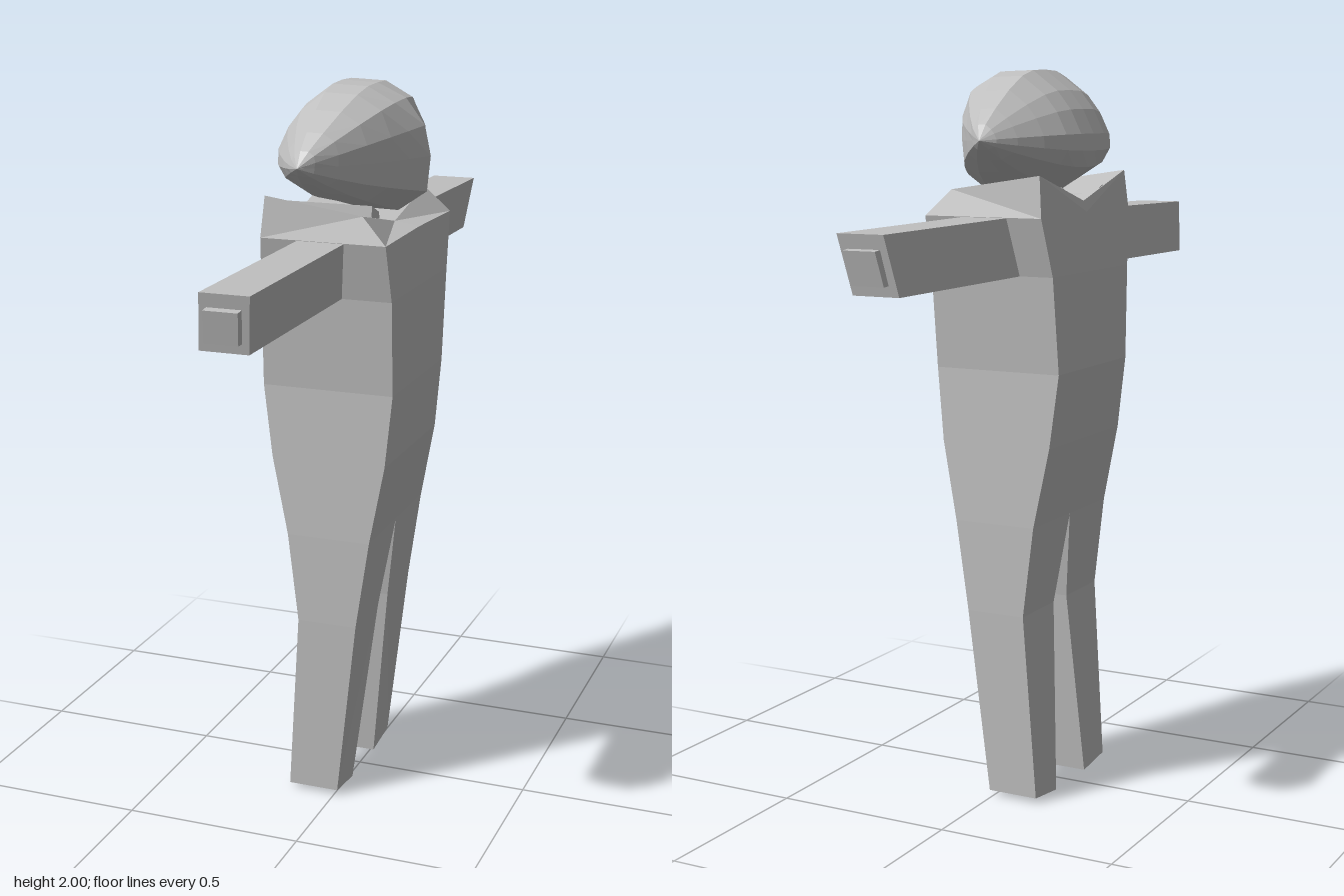
import * as THREE from 'three';

const grey = new THREE.MeshStandardMaterial({ color: 0xbfbfbf, flatShading: true });
grey.name = 'plainGrey';

// Skins a row of closed rings (counter-clockwise seen from the far end) and caps both ends
function loft(name, rings, side = 1) {
  const pos = [];
  const tri = (a, b, c) => {
    for (const p of side > 0 ? [a, b, c] : [a, c, b]) pos.push(p[0], p[1], p[2] * side);
  };
  const n = rings[0].length;
  for (let i = 0; i < rings.length - 1; i++) {
    for (let j = 0; j < n; j++) {
      const k = (j + 1) % n, a = rings[i], b = rings[i + 1];
      tri(a[j], a[k], b[k]);
      tri(a[j], b[k], b[j]);
    }
  }
  const first = rings[0], last = rings[rings.length - 1];
  for (let j = 1; j < n - 1; j++) {
    tri(first[0], first[j + 1], first[j]);
    tri(last[0], last[j], last[j + 1]);
  }
  const geo = new THREE.BufferGeometry();
  geo.setAttribute('position', new THREE.Float32BufferAttribute(pos, 3));
  geo.computeVertexNormals();
  const mesh = new THREE.Mesh(geo, grey);
  mesh.name = name;
  return mesh;
}

// Horizontal ring; yo and yi are the heights of the outer and inner edge
const level = (yo, yi, x0, x1, zi, zo) => [[x1, yo, zo], [x1, yi, zi], [x0, yi, zi], [x0, yo, zo]];

// Upright ring for the arm, leaning outwards at the top
const upright = (x0, x1, y0, y1, z0, z1, lean = 0.02) => [
  [x1 - lean, y0, z0], [x1, y1, z1], [x0 + lean, y1, z1], [x0, y0, z0]];

function bodyHalf(side) {
  const half = new THREE.Group();
  half.name = side > 0 ? 'frontHalf' : 'backHalf';

  // Leg and torso in one continuous skin
  half.add(loft('legAndTorso', [
    level(0.015, 0, -0.135, 0.01, 0.09, 0.215),
    level(0.53, 0.53, -0.10, 0.07, 0.04, 0.225),
    level(0.78, 0.78, -0.13, 0.108, 0, 0.222),
    level(1.0, 1.0, -0.175, 0.15, 0, 0.216),
    level(1.2, 1.2, -0.2, 0.17, 0, 0.21),
    level(1.46, 1.46, -0.193, 0.174, 0, 0.232),
    level(1.615, 1.62, -0.178, 0.17, 0, 0.27),
    // Sloping shoulder, dipping towards the neck
    [[0.10, 1.685, 0.25], [0.10, 1.63, 0], [-0.168, 1.65, 0], [-0.168, 1.725, 0.26]],
  ], side));

  // Collar step beside the neck
  half.add(loft('collarStep', [
    level(1.64, 1.62, -0.165, 0.08, 0.06, 0.13),
    level(1.69, 1.665, -0.165, 0.08, 0.07, 0.125),
  ], side));

  // Arm with a slanted end
  half.add(loft('arm', [
    upright(-0.095, 0.055, 1.46, 1.615, 0.18, 0.18),
    upright(-0.095, 0.055, 1.457, 1.607, 0.838, 0.874),
  ], side));

  // Raised plate on the arm end
  half.add(loft('wristPlate', [
    upright(-0.07, 0.03, 1.485, 1.572, 0.835, 0.855, 0.01),
    upright(-0.07, 0.03, 1.483, 1.568, 0.866, 0.888, 0.01),
  ], side));
  return half;
}

// Head: one outline shrinking to a point at both ends; the third value
// chooses a full (1) or straight (0) taper for that point
function buildHead() {
  const tip = [-0.04, 1.815];
  const outline = [
    [0.19, 1.715, 0], [0.2, 1.81, 0], [0.183, 1.89, 0.3], [0.13, 1.96, 0.8], [0.05, 1.997, 1],
    [-0.05, 2, 1], [-0.125, 1.945, 1], [-0.165, 1.895, 1], [-0.197, 1.83, 1],
    [-0.2, 1.785, 1], [-0.18, 1.74, 0.8], [-0.1, 1.68, 0.3], [0, 1.662, 0], [0.11, 1.66, 0],
  ];
  const steps = [ // distance from the middle, full taper, straight taper
    [0.35, 0.005, 0.005], [0.32, 0.22, 0.15], [0.27, 0.44, 0.34], [0.2, 0.7, 0.56],
    [0.13, 0.9, 0.73], [0.07, 0.985, 0.86], [0, 1, 1],
  ];
  const ring = (z, full, straight) => outline.map(([x, y, w]) => {
    const f = straight + (full - straight) * w;
    return [tip[0] + (x - tip[0]) * f, tip[1] + (y - tip[1]) * f, z];
  });
  const rings = steps.map(([z, a, b]) => ring(-z, a, b));
  for (const [z, a, b] of steps.slice(0, -1).reverse()) rings.push(ring(z, a, b));
  return loft('head', rings);
}

export function createModel() {
  const model = new THREE.Group();
  model.name = 'figure';
  model.add(bodyHalf(1), bodyHalf(-1), buildHead());
  return model;
}
